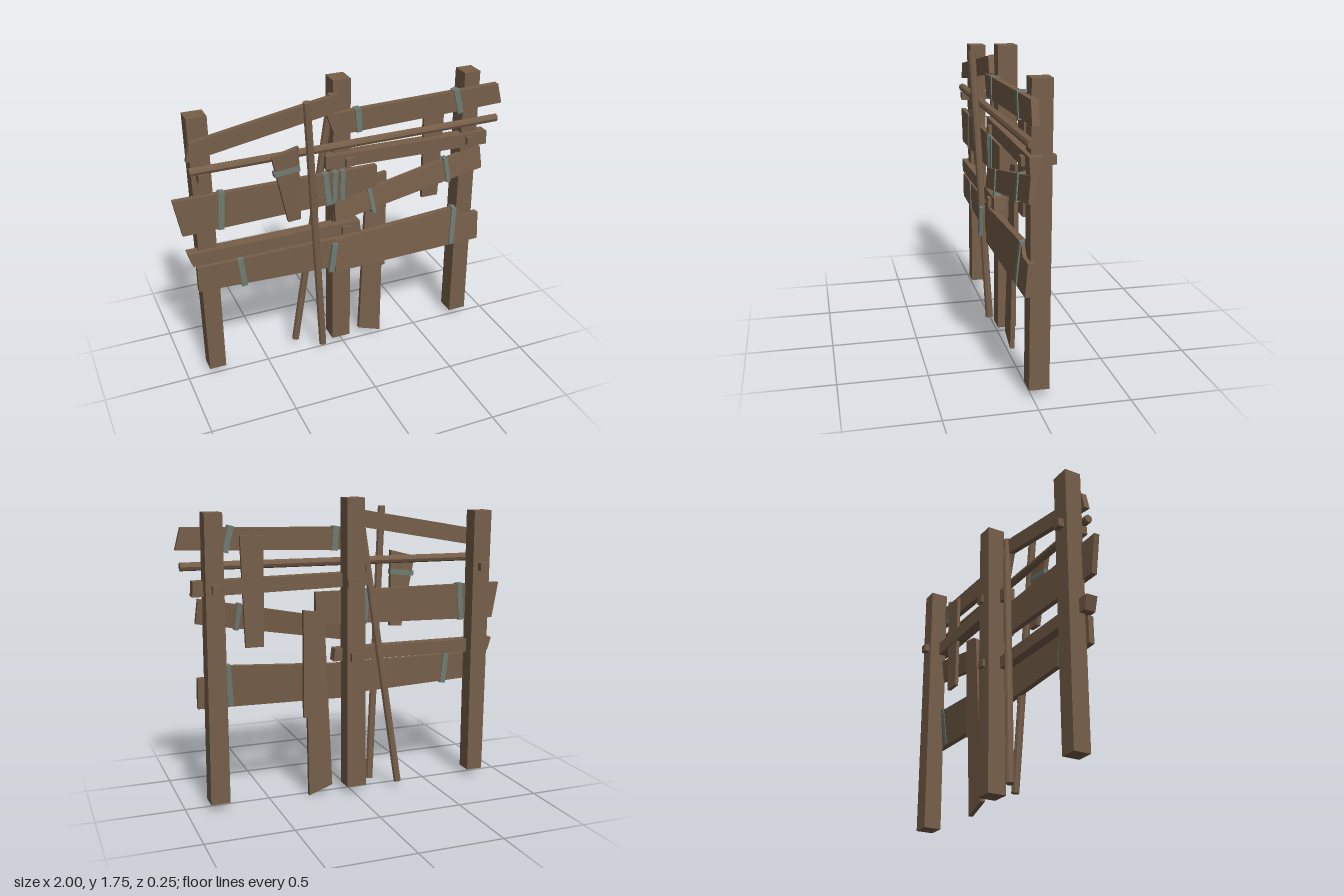
import * as THREE from 'three';

export function createModel() {
  const root = new THREE.Group();
  const wood = new THREE.MeshStandardMaterial({ color: 0x775f4a });
  wood.name = 'weatheredWood';
  const cloth = new THREE.MeshStandardMaterial({ color: 0x6d7b72 });
  cloth.name = 'greyGreenBinding';

  // Board cut to an outline, from zBack to zFront; tilt shifts z with height
  function board(name, outline, zBack, zFront, tilt = 0, material = wood) {
    const shape = new THREE.Shape(outline.map(([x, y]) => new THREE.Vector2(x, y)));
    const geo = new THREE.ExtrudeGeometry(shape, { depth: zFront - zBack, bevelEnabled: false });
    geo.translate(0, 0, zBack);
    const ys = outline.map((p) => p[1]);
    const mid = (Math.min(...ys) + Math.max(...ys)) / 2;
    const pos = geo.attributes.position;
    for (let i = 0; i < pos.count; i++) pos.setZ(i, pos.getZ(i) + tilt * (pos.getY(i) - mid));
    geo.computeVertexNormals();
    const mesh = new THREE.Mesh(geo, material);
    mesh.name = name;
    root.add(mesh);
  }

  // Round pole between two points
  function pole(name, a, b, radius) {
    const from = new THREE.Vector3(...a);
    const to = new THREE.Vector3(...b);
    const dir = to.clone().sub(from);
    const geo = new THREE.CylinderGeometry(radius, radius, dir.length(), 8).toNonIndexed();
    geo.computeVertexNormals();
    const mesh = new THREE.Mesh(geo, wood);
    mesh.name = name;
    mesh.position.copy(from).add(to).multiplyScalar(0.5);
    mesh.quaternion.setFromUnitVectors(new THREE.Vector3(0, 1, 0), dir.normalize());
    root.add(mesh);
  }

  // Binding wrapped round a board, running from point a to point b
  function binding(a, b, zBack, zFront, width = 0.034, tilt = 0) {
    const d = new THREE.Vector2(b[0] - a[0], b[1] - a[1]).normalize().multiplyScalar(width / 2);
    board('binding', [
      [a[0] - d.y, a[1] + d.x], [a[0] + d.y, a[1] - d.x],
      [b[0] + d.y, b[1] - d.x], [b[0] - d.y, b[1] + d.x],
    ], zBack, zFront, tilt, cloth);
  }

  // Posts
  board('leftmostPost', [[-0.87, 0.05], [-0.77, 0.05], [-0.772, 1.67], [-0.885, 1.67]], -0.09, 0.01);
  board('middlePost', [[-0.073, 0.05], [0.045, 0.05], [0.045, 1.76], [-0.06, 1.76]], -0.107, 0.005);
  board('rightmostPost', [[0.755, 0.05], [0.867, 0.05], [0.855, 1.695], [0.755, 1.695]], -0.092, 0.018);

  // Pegs driven through the posts
  for (const [x, y] of [[-0.83, 1.335], [0.02, 1.28], [0.8, 1.28], [0, 0.845]]) {
    const peg = new THREE.Mesh(new THREE.BoxGeometry(0.05, 0.048, 0.185), wood);
    peg.name = 'peg';
    peg.position.set(x, y, -0.031);
    root.add(peg);
  }

  // Narrow rails
  board('upperRail', [[-0.12, 1.25], [0.92, 1.235], [0.915, 1.32], [-0.12, 1.33]], -0.028, 0.04);
  board('lowerRail', [[-0.92, 0.8], [0.1, 0.81], [0.09, 0.885], [-0.945, 0.88]], -0.028, 0.04);

  // Wide horizontal planks
  board('topLeftPlank', [[-0.91, 1.44], [-0.01, 1.6], [-0.04, 1.695], [-0.885, 1.545]], 0.012, 0.045);
  board('topRightPlank', [[-0.07, 1.455], [0.995, 1.49], [0.963, 1.612], [-0.115, 1.585]], 0.012, 0.05);
  board('middleLeftPlank', [[-0.96, 1.0], [0.2, 1.03], [0.2, 1.22], [-1, 1.22]], 0.0, 0.032);
  board('middleRightPlank', [[-0.07, 0.91], [0.9, 1.08], [0.885, 1.22], [-0.07, 1.03]], 0.01, 0.042, -0.1);
  board('bottomLeftPlank', [[-0.9, 0.63], [-0.08, 0.6], [-0.06, 0.79], [-0.9, 0.785]], 0.008, 0.04);
  board('bottomRightPlank', [[-0.07, 0.57], [0.9, 0.59], [0.9, 0.77], [0.785, 0.77],
    [0.74, 0.83], [-0.065, 0.78]], 0.008, 0.045, -0.08);

  // Upright planks
  board('tallUprightPlank', [[0.12, 0.06], [0.265, 0.008], [0.272, 0.49], [0.295, 0.495],
    [0.295, 1.13], [0.2, 1.115], [0.17, 1.09]], -0.055, -0.028, -0.015);
  board('shortUprightPlank', [[0.52, 0.93], [0.625, 0.93], [0.645, 1.56], [0.51, 1.56]], -0.022, 0.0);
  board('hangingPlank', [[-0.36, 0.98], [-0.285, 0.985], [-0.295, 1.44], [-0.45, 1.4]], 0.048, 0.075, 0.04);

  // Poles
  pole('crossPole', [-0.9, 1.382, 0.042], [0.97, 1.397, 0.042], 0.024);
  pole('frontLeaningPole', [-0.145, 0.045, 0.02], [-0.25, 1.7, 0.1], 0.023);
  pole('backLeaningPole', [-0.285, 0.045, -0.095], [-0.075, 1.69, 0.015], 0.023);

  // Bindings
  binding([0.07, 1.595], [0.08, 1.455], 0.007, 0.055);
  binding([0.685, 1.615], [0.722, 1.468], 0.007, 0.055);
  binding([-0.728, 1.227], [-0.745, 1.0], -0.005, 0.037);
  binding([-0.12, 1.225], [-0.1, 1.02], -0.005, 0.037);
  binding([-0.06, 1.225], [-0.066, 1.02], -0.005, 0.037, 0.028);
  binding([-0.013, 1.225], [-0.018, 1.02], -0.005, 0.037, 0.028);
  binding([0.15, 1.075], [0.178, 0.925], 0.012, 0.055, 0.026, -0.1);
  binding([0.65, 1.182], [0.67, 1.03], 0.0, 0.045, 0.026, -0.1);
  binding([-0.65, 0.79], [-0.63, 0.607], 0.003, 0.045);
  binding([-0.085, 0.785], [-0.11, 0.6], 0.07, 0.092);
  binding([0.728, 0.835], [0.71, 0.592], 0.003, 0.052, 0.032, -0.08);
  binding([-0.44, 1.295], [-0.29, 1.313], 0.047, 0.085, 0.03);

  return root;
}
